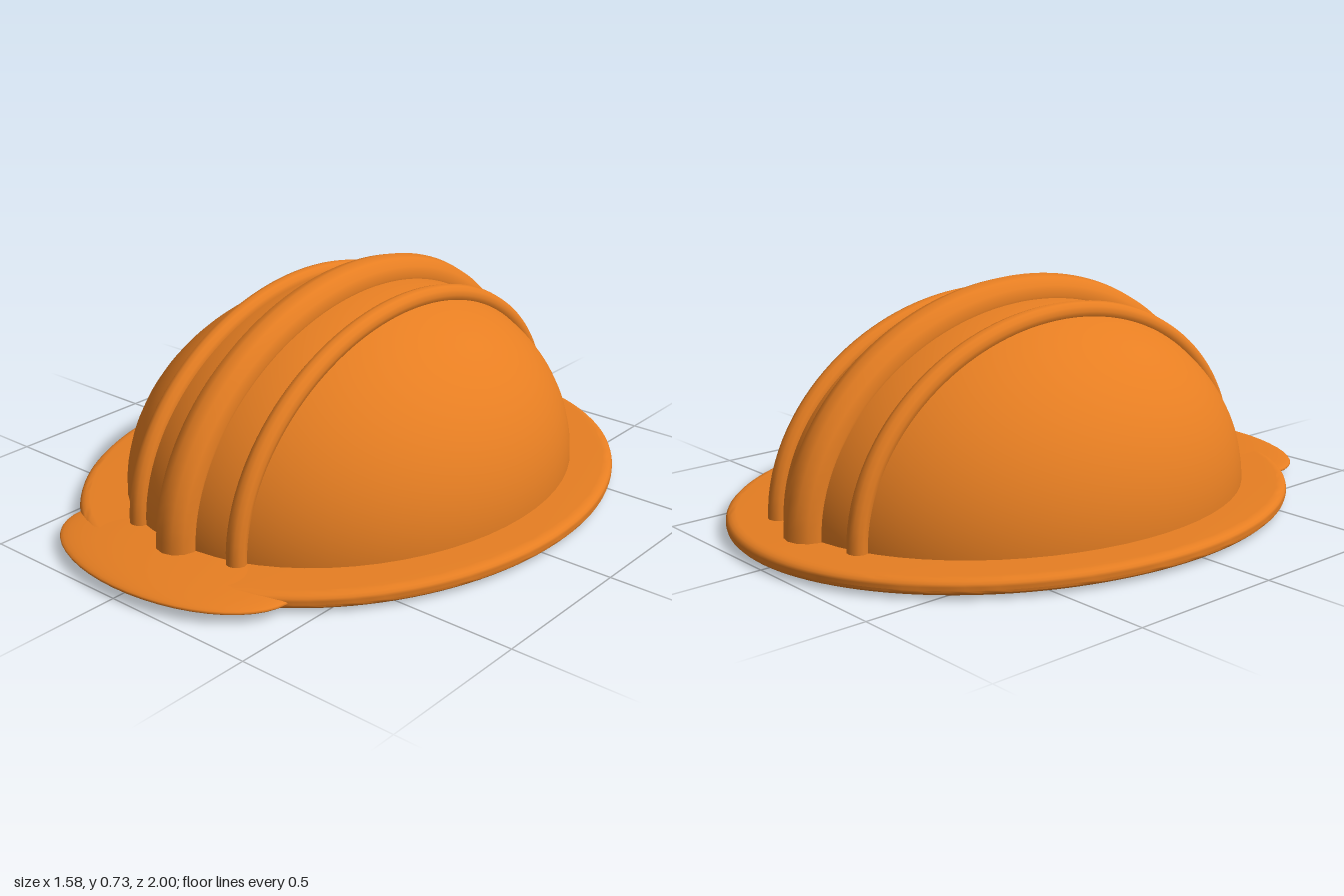
import * as THREE from 'three';
import { toCreasedNormals } from 'three/addons/utils/BufferGeometryUtils.js';

const CENTER_Z = -0.05;
const BASE_Y = 0.064;

export function createModel() {
  const group = new THREE.Group();
  group.name = 'hardHat';
  const orange = new THREE.MeshStandardMaterial({ color: 0xe67e22, side: THREE.DoubleSide });
  orange.name = 'safety orange';

  const add = (name, geometry, x, y, z) => {
    const mesh = new THREE.Mesh(geometry, orange);
    mesh.name = name;
    mesh.position.set(x, y, z);
    group.add(mesh);
    return mesh;
  };

  // Shell: a stretched half sphere
  const dome = new THREE.SphereGeometry(1, 64, 32, 0, Math.PI * 2, 0, Math.PI / 2);
  dome.scale(0.66, 0.602, 0.79);
  add('dome', dome, 0, BASE_Y, CENTER_Z);

  // Brim: oval plate with a rounded edge
  const oval = new THREE.Shape();
  oval.absellipse(0, 0, 0.76, 0.92, 0, Math.PI * 2);
  const plate = new THREE.ExtrudeGeometry(oval, {
    depth: 0.01, bevelEnabled: true, bevelThickness: 0.02, bevelSize: 0.03,
    bevelSegments: 4, curveSegments: 64,
  });
  plate.rotateX(-Math.PI / 2);
  add('brim', toCreasedNormals(plate, 0.7), 0, 0.031, CENTER_Z);

  // Front peak: flattened ellipsoid, tipped up slightly
  const peak = new THREE.SphereGeometry(1, 48, 24);
  peak.scale(0.43, 0.032, 0.25);
  add('peak', peak, 0, 0.036, 0.75).rotation.x = -0.02;

  // Ridges running front to back over the shell
  const addRidge = (name, x, radius, height, length) => {
    const points = [];
    for (let i = 0; i <= 48; i++) {
      const a = (i / 48) * Math.PI;
      points.push(new THREE.Vector3(0, Math.sin(a) * height, Math.cos(a) * length));
    }
    const path = new THREE.CatmullRomCurve3(points);
    add(name, new THREE.TubeGeometry(path, 64, radius, 12), x, BASE_Y, CENTER_Z);
  };
  addRidge('centerRidge', 0, 0.065, 0.606, 0.795);
  addRidge('leftRidge', 0.2, 0.031, 0.58, 0.76);
  addRidge('rightRidge', -0.2, 0.031, 0.58, 0.76);

  return group;
}
